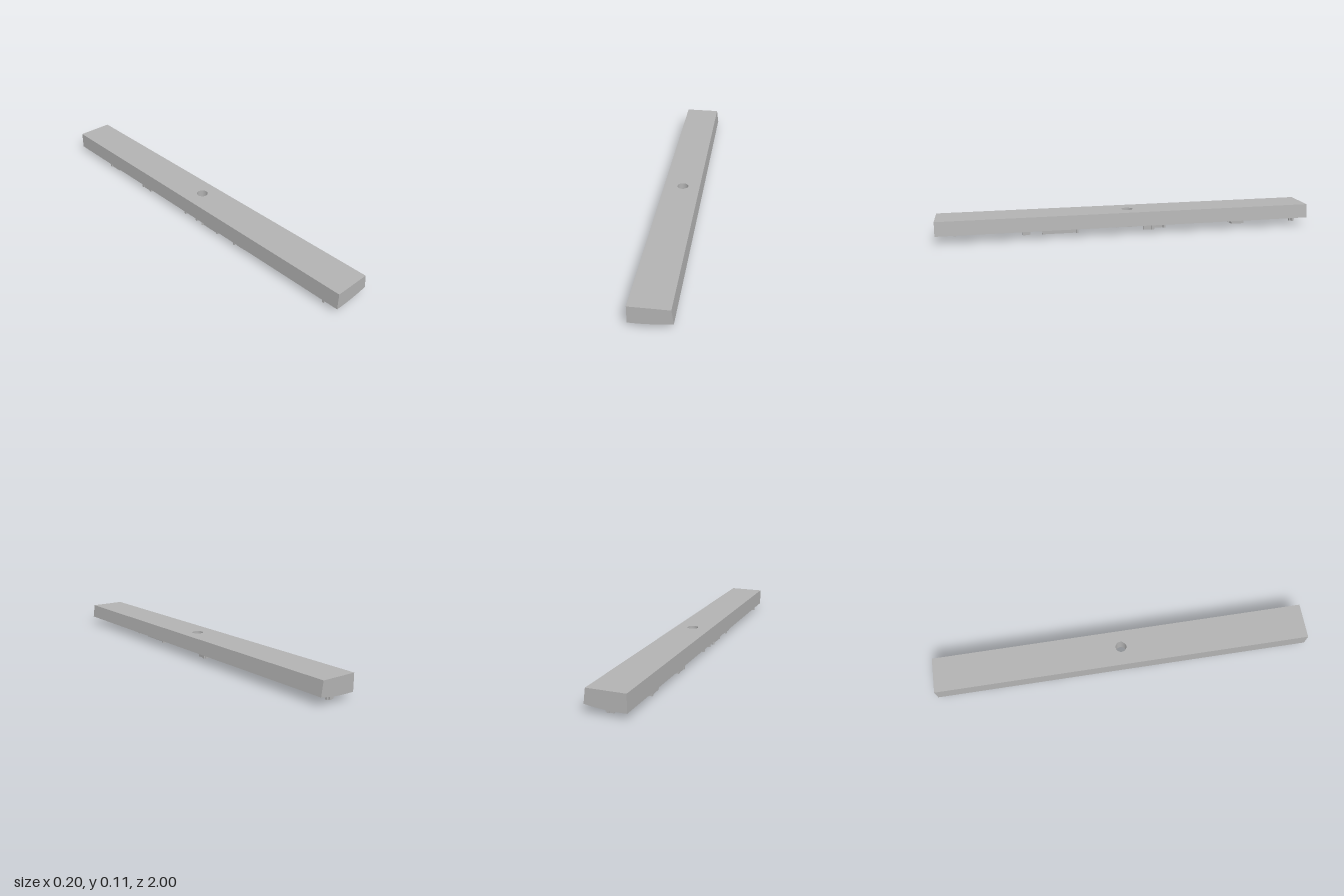
import * as THREE from 'three';

const TOP = 0.115, HALF = 0.1, MID = 0.05, STEPS = 16;
// height of the gently arched underside at x
const under = x => 0.0275 + 0.5 * (x + 0.07) ** 2;

// one long end of the bar: the cross-section extruded along z
function barEnd(z, material) {
  const s = new THREE.Shape();
  s.moveTo(-HALF, TOP);
  for (let i = 0; i <= STEPS; i++) {
    const x = -HALF + (2 * HALF * i) / STEPS;
    s.lineTo(x, under(x));
  }
  s.lineTo(0.09, TOP);
  s.closePath();
  const g = new THREE.ExtrudeGeometry(s, { depth: 1 - MID, bevelEnabled: false });
  g.translate(0, 0, z);
  return new THREE.Mesh(g, material);
}

// short middle section with the vertical through hole
function barMiddle(material) {
  const s = new THREE.Shape();
  s.moveTo(-HALF, -MID);
  for (let i = 1; i <= STEPS; i++) s.lineTo(-HALF + (2 * HALF * i) / STEPS, -MID);
  for (let i = 0; i <= STEPS; i++) s.lineTo(HALF - (2 * HALF * i) / STEPS, MID);
  s.closePath();
  const hole = new THREE.Path();
  hole.absarc(0, 0, 0.029, 0, Math.PI * 2, true);
  s.holes.push(hole);
  const g = new THREE.ExtrudeGeometry(s, { depth: 1, bevelEnabled: false, curveSegments: 32 });
  g.rotateX(-Math.PI / 2);
  const p = g.attributes.position;
  for (let i = 0; i < p.count; i++) {
    const x = p.getX(i);
    if (p.getY(i) > 0.5) {
      p.setY(i, TOP);
      if (x > 0.05) p.setX(i, x - 0.01 * (x - 0.05) / 0.05); // leaning side
    } else p.setY(i, under(x));
  }
  g.computeVertexNormals();
  return new THREE.Mesh(g, material);
}

// thin rib standing on the underside between two plan points
function rib([x1, z1, x2, z2], material) {
  const dx = x2 - x1, dz = z2 - z1;
  const g = new THREE.BoxGeometry(Math.hypot(dx, dz), 1, 0.012, 5, 1, 1);
  g.rotateY(-Math.atan2(dz, dx));
  g.translate((x1 + x2) / 2, 0, (z1 + z2) / 2);
  const p = g.attributes.position;
  for (let i = 0; i < p.count; i++) {
    const y = under(p.getX(i));
    p.setY(i, p.getY(i) > 0 ? y + 0.003 : y - 0.0272);
  }
  g.computeVertexNormals();
  return new THREE.Mesh(g, material);
}

// rib groups from front to back, each rib as x1, z1, x2, z2
const RIBS = {
  frontHook: [[-0.045, 0.91, -0.085, 0.91], [-0.066, 0.935, -0.066, 0.895]],
  frontElbow: [[0.03, 0.555, 0.01, 0.555], [0.012, 0.56, 0.012, 0.527], [0.012, 0.527, -0.022, 0.527]],
  longRail: [[0.02, 0.46, 0.02, 0.27], [0.045, 0.276, 0.0, 0.276]],
  frontCross: [[-0.01, 0.33, -0.085, 0.33], [-0.035, 0.4, -0.035, 0.3],
    [-0.03, 0.38, -0.075, 0.38], [-0.07, 0.4, -0.07, 0.345]],
  frontChannel: [[-0.075, 0.21, -0.075, 0.09], [-0.06, 0.11, -0.088, 0.09], [-0.065, 0.205, -0.085, 0.205]],
  smallPost: [[-0.045, 0.045, -0.085, 0.045], [-0.062, 0.06, -0.062, 0.03]],
  middleElbow: [[-0.055, 0.0, -0.055, -0.045], [-0.05, -0.045, -0.085, -0.045]],
  middleCross: [[0.045, -0.08, 0.045, -0.14], [0.06, -0.13, -0.01, -0.13],
    [0.02, -0.085, 0.02, -0.135], [0.0, -0.09, 0.0, -0.13]],
  middleRail: [[-0.003, -0.14, -0.003, -0.215], [0.02, -0.205, -0.045, -0.205], [-0.01, -0.15, -0.03, -0.15]],
  rearRail: [[-0.078, -0.34, -0.078, -0.415], [-0.065, -0.41, -0.088, -0.41], [-0.07, -0.345, -0.088, -0.345]],
  rearCross: [[0.005, -0.595, 0.005, -0.665], [0.01, -0.63, -0.075, -0.63],
    [-0.035, -0.59, -0.035, -0.665], [0.005, -0.6, -0.07, -0.6], [-0.01, -0.66, -0.06, -0.66]],
  rearChannel: [[-0.075, -0.645, -0.075, -0.725], [-0.06, -0.722, -0.088, -0.722]],
  rearHook: [[0.02, -0.955, -0.02, -0.955], [0.005, -0.94, 0.005, -0.968]],
};

export function createModel() {
  const grey = new THREE.MeshStandardMaterial({ color: 0xb2b2b2 });
  grey.name = 'grey';
  const model = new THREE.Group();
  model.name = 'ribbedBar';

  const bar = new THREE.Group();
  bar.name = 'bar';
  const parts = { frontBar: barEnd(MID, grey), rearBar: barEnd(-1, grey), holeSection: barMiddle(grey) };
  for (const [name, mesh] of Object.entries(parts)) {
    mesh.name = name;
    bar.add(mesh);
  }
  model.add(bar);

  for (const [name, list] of Object.entries(RIBS)) {
    const group = new THREE.Group();
    group.name = name;
    list.forEach((r, i) => {
      const mesh = rib(r, grey);
      mesh.name = `${name}Rib${i + 1}`;
      group.add(mesh);
    });
    model.add(group);
  }
  return model;
}
